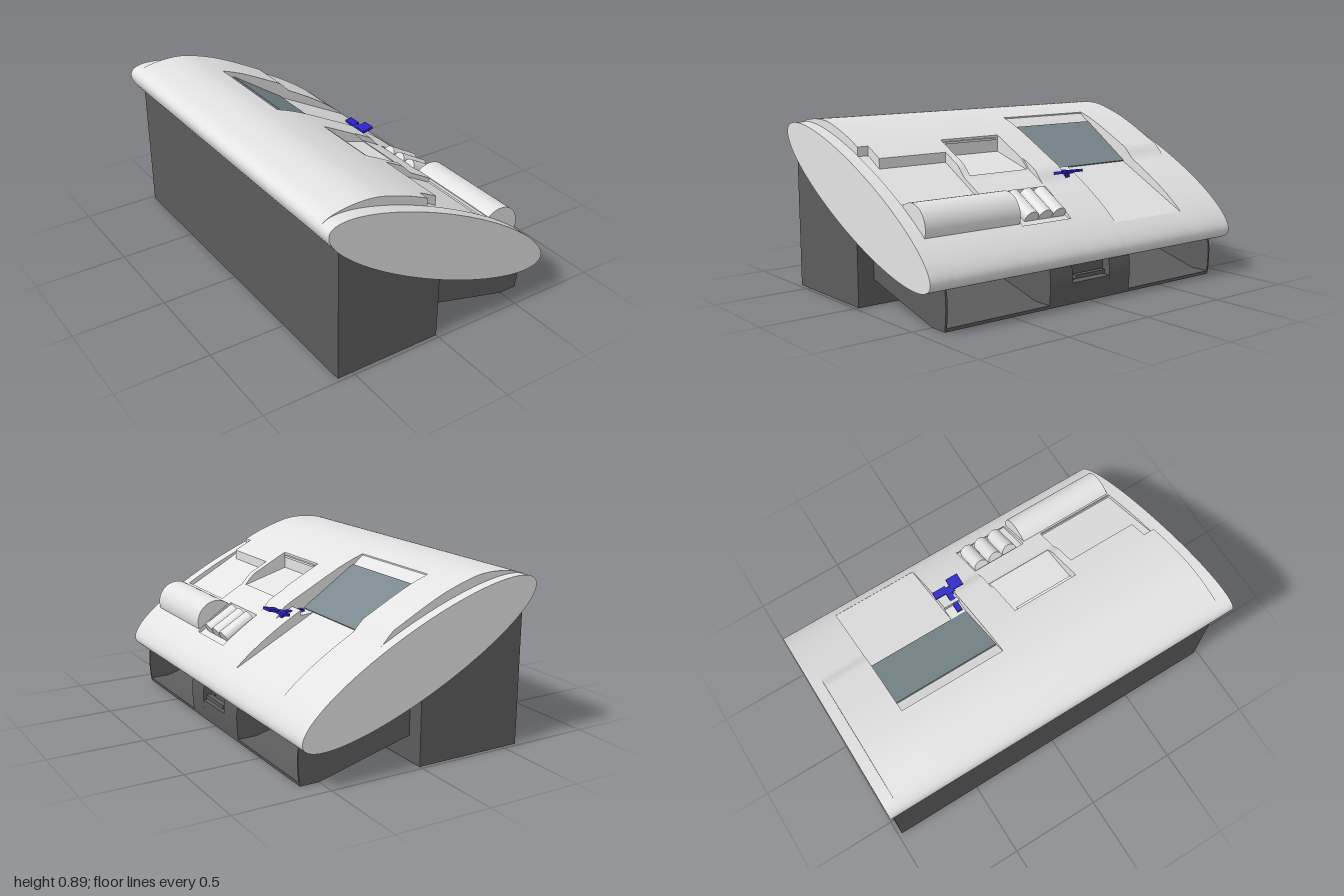
import * as THREE from 'three';
import { toCreasedNormals } from 'three/addons/utils/BufferGeometryUtils.js';

const mat = (name, color) => {
  const m = new THREE.MeshStandardMaterial({ color });
  m.name = name;
  return m;
};

// Tilted elliptical section: centre line and half thickness over x
const R = 0.65;
const mid = x => 0.53 - 0.4385 * x;
const half = x => 0.2846 * Math.sqrt(Math.max(0, R * R - x * x));
const smooth = THREE.MathUtils.smoothstep;

// Height of the raised deck above the ellipse, dropping away just before its end
const deck = (x, end) => (0.048 - 0.018 * smooth(x, -0.2, 0.15))
  * smooth(x, -0.66, -0.3) * (1 - smooth(x, end - 0.06, end));

// Height of a polyline at x
function along(points, x) {
  for (let i = 1; i < points.length; i++) {
    const [x0, y0] = points[i - 1], [x1, y1] = points[i];
    if (x >= x0 && x <= x1) return y0 + (y1 - y0) * (x - x0) / (x1 - x0);
  }
  return Infinity;
}

// Section of the console, with a raised deck and carved pockets
function section(deckEnd, carves) {
  const N = 72, lower = [], xs = [];
  for (let i = 0; i <= N; i++) {
    const x = -R * Math.cos(Math.PI * i / N);
    lower.push(new THREE.Vector2(x, mid(x) - half(x)));
    if (i > 0 && i < N) xs.push(x);
  }
  for (const c of carves) {
    for (const [x] of c) xs.push(x);
    xs.push(c[0][0] - 1e-4, c[c.length - 1][0] + 1e-4);
  }
  xs.sort((a, b) => b - a);
  const upper = xs.map(x => {
    let y = mid(x) + half(x) + (deckEnd ? deck(x, deckEnd) : 0);
    for (const c of carves) y = Math.min(y, along(c, x));
    return new THREE.Vector2(x, y);
  });
  return new THREE.Shape([...lower, ...upper]);
}

function extrude(shape, z0, z1) {
  const g = new THREE.ExtrudeGeometry(shape, { depth: z1 - z0, bevelEnabled: false });
  g.translate(0, 0, z0);
  return toCreasedNormals(g, 0.35);
}

const polygon = pts => new THREE.Shape(pts.map(p => new THREE.Vector2(p[0], p[1])));

export function createModel() {
  const model = new THREE.Group();
  const shell = mat('light grey shell', 0xe3e3e3);
  const dark = mat('dark grey base', 0x5c5c5c);
  const glass = mat('slate screen', 0x7a888d);
  const blue = mat('blue lever', 0x2a22c4);

  const add = (name, geometry, material, parent = model) => {
    const m = new THREE.Mesh(geometry, material);
    m.name = name;
    parent.add(m);
    return m;
  };
  const box = (name, w, h, d, x, y, z, material, tilt = 0) => {
    const m = add(name, new THREE.BoxGeometry(w, h, d), material);
    m.position.set(x, y, z);
    m.rotation.z = tilt;
    return m;
  };

  // Console body: slices along z, each with its own pockets
  const screenWell = [[-0.23, 0.845], [-0.17, 0.797], [0.13, 0.597]];
  const pocket = [[-0.06, 0.695], [0.19, 0.622]];
  const gripWell = [[0.32, 0.515], [0.52, 0.4]];
  const tray = [[0.04, 0.68], [0.32, 0.525]];
  const slices = [
    [-1, -0.94, 0, []],
    [-0.94, -0.69, 0.2, []],
    [-0.69, -0.2, 0.2, [[...screenWell, [0.57, 0.367]]]],
    [-0.2, -0.11, 0.2, [[...screenWell, [0.2, 0.59]]]],
    [-0.11, 0.06, 0.3, []],
    [0.06, 0.07, 0.2, [gripWell]],
    [0.07, 0.37, 0.2, [pocket, gripWell]],
    [0.37, 0.44, 0.2, [pocket]],
    [0.44, 0.48, 0.2, []],
    [0.48, 0.87, 0.2, [tray]],
    [0.87, 0.93, 0.2, [[[-0.06, 0.735], ...tray]]],
    [0.93, 1, 0, []],
  ];
  const body = new THREE.Group();
  body.name = 'consoleBody';
  model.add(body);
  slices.forEach(([z0, z1, deckEnd, carves], i) =>
    add('bodySection' + (i + 1), extrude(section(deckEnd, carves), z0, z1), shell, body));

  // Screen lying on the floor of its well
  box('screen', 0.36, 0.008, 0.578, -0.02, 0.7, -0.4, glass, Math.atan2(-0.2, 0.3));

  // Ledge inside the small pocket
  box('pocketLedge', 0.02, 0.012, 0.33, -0.055, 0.765, 0.255, shell);

  // Rounded armrest
  const armrest = add('armrest', new THREE.CylinderGeometry(0.112, 0.112, 0.55, 48), shell);
  armrest.rotation.x = Math.PI / 2;
  armrest.position.set(0.404, 0.459, 0.655);

  // Three finger ridges
  for (const z of [0.112, 0.2, 0.288]) {
    const ridge = add('gripRidge', new THREE.CylinderGeometry(0.042, 0.042, 0.18, 24), shell);
    ridge.rotation.z = Math.PI / 2 - 0.53;
    ridge.position.set(0.41, 0.48, z);
  }

  // Lever hub
  const hub = add('leverHub', new THREE.CylinderGeometry(0.02, 0.025, 0.05, 20), shell);
  hub.position.set(0.24, 0.58, -0.13);

  // Lever with two wings
  box('leverBar', 0.15, 0.014, 0.03, 0.225, 0.601, -0.135, blue, 0.03);
  box('leverStem', 0.03, 0.035, 0.03, 0.265, 0.588, -0.13, blue);
  box('leverWingBack', 0.04, 0.014, 0.075, 0.29, 0.606, -0.173, blue, 0.15);
  box('leverWingFront', 0.065, 0.014, 0.07, 0.304, 0.608, -0.078, blue, 0.2);
  box('leverNeck', 0.04, 0.014, 0.05, 0.28, 0.603, -0.125, blue, 0.1);

  // Rear pedestal: four thin walls, open underneath
  const side = polygon([[-0.585, 0], [0, 0], [0, mid(0)], [-0.585, mid(-0.585)]]);
  add('pedestalEndFront', extrude(side, 0.972, 0.98), dark);
  add('pedestalEndBack', extrude(side, -0.98, -0.972), dark);
  box('pedestalWallLeft', 0.008, mid(0), 1.944, -0.004, mid(0) / 2, 0, dark);
  box('pedestalWallRight', 0.008, 0.76, 1.944, -0.581, 0.38, 0, dark);

  // Front base: end walls, hollow bays with thin floors, solid centre
  const bottom = [[0, 0.13], [0.5, 0], [0.6, 0]];
  const front = [[0.607, 0.05], [0.61, 0.1], [0.61, 0.15], [0.603, 0.2]];
  const back = [[0.59, mid(0.59)], [0, mid(0)]];
  const solid = polygon([...bottom, ...front, ...back]);
  const floor = polygon([...bottom, [0.604, 0.018], [0.5, 0.018], [0, 0.148]]);
  const slotted = polygon([...bottom, front[0], [0.61, 0.11], [0.56, 0.11], [0.56, 0.28], [0, mid(0)]]);
  for (const s of [-1, 1]) {
    const span = (a, b) => s > 0 ? [a, b] : [-b, -a];
    add('baseEndWall', extrude(solid, ...span(0.88, 0.89)), dark);
    add('bayFloor', extrude(floor, ...span(0.27, 0.88)), dark);
    add('baseCentreSide', extrude(solid, ...span(0.125, 0.27)), dark);
  }
  add('baseCentreSlot', extrude(slotted, -0.125, 0.125), dark);
  box('slotHandle', 0.03, 0.02, 0.2, 0.59, 0.135, 0, dark);
  for (const z of [-0.085, 0.085]) box('handlePost', 0.05, 0.015, 0.015, 0.57, 0.135, z, dark);

  return model;
}
